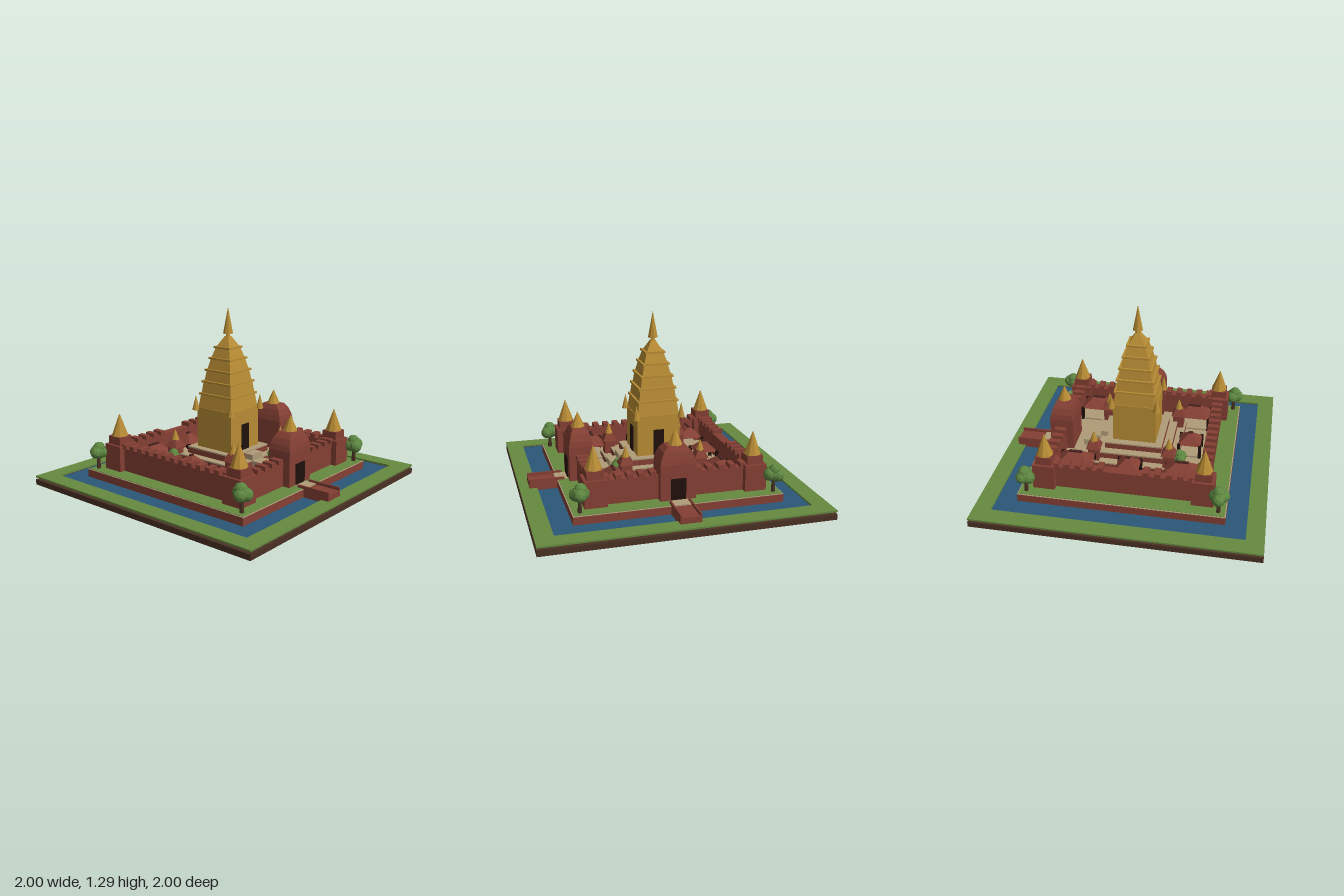
import * as THREE from 'three';

const mat = (name, color) => {
  const m = new THREE.MeshStandardMaterial({ color });
  m.name = name;
  return m;
};

export function createModel() {
  const root = new THREE.Group();
  root.name = 'templeCompound';
  const grass = mat('grass green', 0x668a40);
  const water = mat('moat blue', 0x2b5778);
  const brick = mat('brick red', 0x843f33);
  const stone = mat('sandstone', 0xb09c78);
  const gold = mat('gold', 0xb88c34);
  const earth = mat('earth brown', 0x4a3124);
  const dark = mat('dark opening', 0x1f100c);
  const leaf = mat('leaf green', 0x5c8540);
  const ridgeRed = mat('dark roof red', 0x4a2420);

  const group = (name, x = 0, y = 0, z = 0, parent = root) => {
    const g = new THREE.Group();
    g.name = name;
    g.position.set(x, y, z);
    parent.add(g);
    return g;
  };
  const add = (parent, name, geo, m, x, y, z) => {
    const mesh = new THREE.Mesh(geo, m);
    mesh.name = name;
    mesh.position.set(x, y, z);
    parent.add(mesh);
    return mesh;
  };
  const flat = (geo) => {
    const g = geo.index ? geo.toNonIndexed() : geo;
    g.computeVertexNormals();
    return g;
  };
  // Box given by its footprint and its bottom and top heights
  const box = (p, name, m, w, d, y0, y1, x = 0, z = 0) =>
    add(p, name, new THREE.BoxGeometry(w, y1 - y0, d), m, x, (y0 + y1) / 2, z);
  // Box whose top face is resized
  const taper = (p, name, m, w0, d0, w1, d1, y0, y1, x = 0, z = 0) => {
    const geo = new THREE.BoxGeometry(w0, y1 - y0, d0);
    const a = geo.attributes.position;
    for (let i = 0; i < a.count; i++) {
      if (a.getY(i) > 0) a.setXYZ(i, a.getX(i) * w1 / w0, a.getY(i), a.getZ(i) * d1 / d0);
    }
    return add(p, name, flat(geo), m, x, (y0 + y1) / 2, z);
  };
  const cone = (p, name, m, r, y0, y1, x = 0, z = 0) =>
    add(p, name, flat(new THREE.ConeGeometry(r, y1 - y0, 8)), m, x, (y0 + y1) / 2, z);
  const corners = [[-1, -1], [1, -1], [1, 1], [-1, 1]];

  // Ground slab, moat, outer lawn and island
  const ground = group('ground');
  box(ground, 'earthSlab', earth, 2, 2, 0, 0.04);
  box(ground, 'moat', water, 1.76, 1.76, 0.035, 0.05);
  for (const s of [-1, 1]) {
    box(ground, 'outerLawn', grass, 2, 0.125, 0.055, 0.067, 0, s * 0.9375);
    box(ground, 'outerLawn', grass, 0.125, 1.75, 0.055, 0.067, s * 0.9375, 0);
  }
  box(ground, 'islandWall', brick, 1.46, 1.46, 0.04, 0.105);
  box(ground, 'islandEdge', stone, 1.46, 1.46, 0.105, 0.109);
  box(ground, 'islandLawn', grass, 1.445, 1.445, 0.106, 0.112);
  box(ground, 'courtyard', stone, 1.08, 1.08, 0.11, 0.117);

  // Four walls with merlons, left open where a gate interrupts them
  [[0, true], [Math.PI / 2, true], [Math.PI, true], [-Math.PI / 2, false]].forEach(([turn, gap]) => {
    const wall = group('enclosureWall');
    wall.rotation.y = turn;
    box(wall, 'wall', brick, 1.0, 0.07, 0.11, 0.28, 0, 0.56);
    for (let i = -6; i <= 6; i++) {
      if (gap && Math.abs(i) < 2) continue;
      box(wall, 'merlon', brick, 0.042, 0.082, 0.275, 0.31, i * 0.08, 0.56);
    }
  });

  // Corner towers
  for (const [sx, sz] of corners) {
    const t = group('cornerTower', sx * 0.56, 0, sz * 0.56);
    box(t, 'towerBody', brick, 0.155, 0.155, 0.11, 0.3);
    box(t, 'towerTop', brick, 0.115, 0.115, 0.3, 0.36);
    cone(t, 'towerSpire', gold, 0.06, 0.36, 0.525);
  }

  // Gatehouses with bridges, on the front and left sides
  for (const turn of [0, Math.PI / 2]) {
    const g = group('gatehouse');
    g.rotation.y = turn;
    box(g, 'gateBody', brick, 0.25, 0.175, 0.11, 0.36, 0, 0.56);
    const tiers = [[0.25, 0.175, 0.36], [0.235, 0.16, 0.4], [0.195, 0.135, 0.445], [0.13, 0.1, 0.48]];
    for (let i = 0; i < 3; i++) {
      const [w0, d0, y0] = tiers[i], [w1, d1, y1] = tiers[i + 1];
      taper(g, 'gateRoof', brick, w0, d0, w1, d1, y0, y1, 0, 0.56);
    }
    cone(g, 'gateSpire', gold, 0.05, 0.48, 0.59, 0, 0.56);
    box(g, 'gateDoor', dark, 0.105, 0.008, 0.112, 0.265, 0, 0.65);
    box(g, 'gatePath', stone, 0.125, 0.1, 0.1, 0.116, 0, 0.69);
    box(g, 'bridgeDeck', brick, 0.13, 0.2, 0.045, 0.108, 0, 0.83);
    for (const s of [-1, 1]) box(g, 'bridgeRail', brick, 0.012, 0.25, 0.045, 0.13, s * 0.067, 0.805);
  }

  // Stepped terrace with two stairways
  const terrace = group('terrace');
  [0.66, 0.54, 0.42].forEach((w, i) => {
    const y = 0.115 + i * 0.05;
    box(terrace, 'terraceWall', brick, w, w, y, y + 0.04);
    box(terrace, 'terraceFloor', stone, w, w, y + 0.04, y + 0.05);
  });
  for (const turn of [0, Math.PI / 2]) {
    const stair = group('stairway', 0, 0, 0, terrace);
    stair.rotation.y = turn;
    for (let i = 0; i < 3; i++) {
      box(stair, 'step', stone, 0.115, 0.068, 0.115, 0.255 - i * 0.045, 0, 0.24 + i * 0.068);
    }
  }

  // Central tower: tapering storeys, each closed by a cornice
  const tower = group('centralTower');
  box(tower, 'sanctuary', gold, 0.316, 0.316, 0.26, 0.56);
  const storeys = [[0.153, 0.139, 0.56, 0.66], [0.137, 0.126, 0.66, 0.75], [0.122, 0.109, 0.75, 0.835],
    [0.107, 0.087, 0.835, 0.92], [0.087, 0.062, 0.92, 1.0], [0.062, 0.017, 1.0, 1.08]];
  storeys.forEach(([a, b, y0, y1], i) => {
    taper(tower, 'storey', gold, a * 2, a * 2, b * 2, b * 2, y0, y1);
    if (i < 5) box(tower, 'cornice', gold, b * 2 + 0.024, b * 2 + 0.024, y1 - 0.006, y1 + 0.008);
  });
  add(tower, 'finialNeck', new THREE.CylinderGeometry(0.012, 0.017, 0.03, 8), gold, 0, 1.09, 0);
  cone(tower, 'finial', gold, 0.036, 1.1, 1.29);
  for (const [sx, sz] of corners) cone(tower, 'cornerSpire', gold, 0.027, 0.54, 0.65, sx * 0.166, sz * 0.166);
  box(tower, 'frontDoor', dark, 0.08, 0.008, 0.265, 0.455, 0, 0.161);
  box(tower, 'leftDoor', dark, 0.008, 0.08, 0.265, 0.455, 0.161, 0);

  // Small shrines on the terrace corners
  for (const [sx, sz] of corners) {
    const s = group('shrine', sx * 0.275, 0, sz * 0.275);
    box(s, 'shrineBody', brick, 0.08, 0.08, 0.16, 0.265);
    taper(s, 'shrineRoof', brick, 0.104, 0.104, 0.05, 0.05, 0.265, 0.32);
    cone(s, 'shrineSpire', gold, 0.03, 0.315, 0.4);
  }

  // Open pavilions with hipped roofs
  const pavilion = (x, z, w, d) => {
    const p = group('pavilion', x, 0, z);
    box(p, 'pavilionFloor', stone, w, d, 0.115, 0.13);
    for (const [sx, sz] of corners) {
      box(p, 'post', dark, 0.022, 0.022, 0.115, 0.222, sx * (w / 2 - 0.004), sz * (d / 2 - 0.004));
    }
    const rw = w - d + 0.03;
    taper(p, 'pavilionRoof', brick, w, d, rw, 0.03, 0.215, 0.28);
    box(p, 'roofRidge', ridgeRed, rw, 0.02, 0.278, 0.29);
  };
  for (const [sx, sz] of corners) pavilion(sx * 0.385, sz * 0.39, 0.245, 0.18);
  pavilion(0, -0.4, 0.165, 0.165);
  pavilion(-0.4, 0, 0.165, 0.165);

  // Trees: a trunk and a clump of faceted leaf balls
  const tree = (x, z, y, s, turn) => {
    const t = group('tree', x, y, z);
    t.scale.setScalar(s);
    t.rotation.y = turn;
    add(t, 'trunk', new THREE.CylinderGeometry(0.011, 0.016, 0.1, 6), earth, 0, 0.05, 0);
    const balls = [[0, 0.13, 0, 0.056], [0.026, 0.125, 0.012, 0.046], [-0.028, 0.13, 0.014, 0.046],
      [0.004, 0.122, -0.028, 0.046], [0.004, 0.16, 0.006, 0.044]];
    for (const [bx, by, bz, r] of balls) {
      add(t, 'foliage', flat(new THREE.IcosahedronGeometry(r, 1)), leaf, bx, by, bz);
    }
  };
  corners.forEach(([sx, sz], i) => tree(sx * 0.675, sz * 0.675, 0.11, 1, i * 1.3));
  tree(-0.35, -0.23, 0.115, 0.78, 0.5);
  tree(0.165, 0.305, 0.115, 0.78, 2);

  return root;
}
